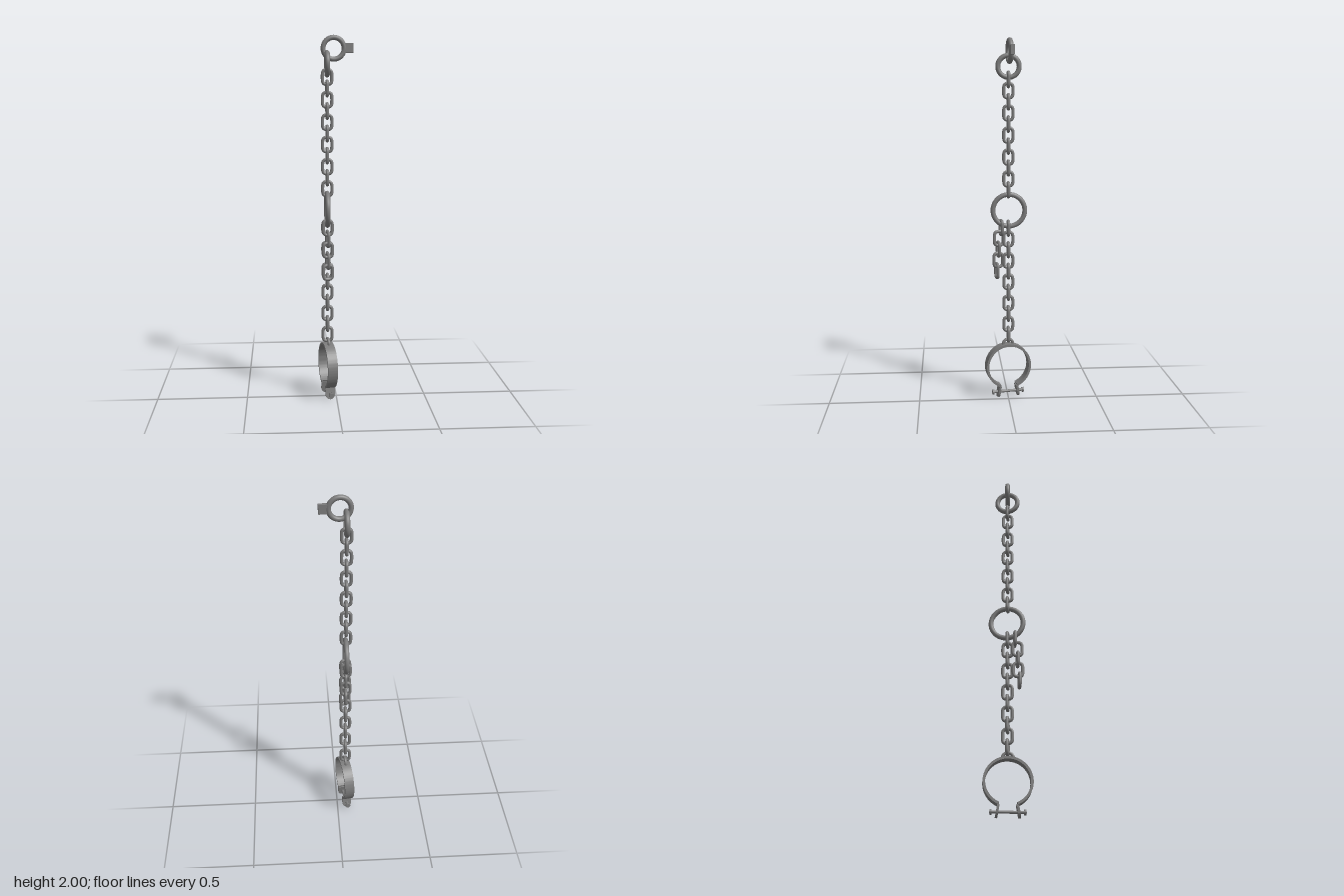
import * as THREE from 'three';
import { toCreasedNormals } from 'three/addons/utils/BufferGeometryUtils.js';

const CHAIN_X = -0.048;

export function createModel() {
  const root = new THREE.Group();
  const metal = new THREE.MeshStandardMaterial({ color: 0x7c7c7c });

  function add(parent, name, geometry, x = 0, y = 0, z = 0) {
    const mesh = new THREE.Mesh(geometry, metal);
    mesh.name = name;
    mesh.position.set(x, y, z);
    parent.add(mesh);
    return mesh;
  }

  // Chain link: a closed tube around a rounded rectangle
  const corner = 0.018, halfW = 0.0245, halfH = 0.0385;
  const outline = [];
  for (let q = 0; q < 4; q++) {
    const sx = q === 0 || q === 3 ? 1 : -1, sy = q < 2 ? 1 : -1;
    for (let i = 0; i <= 3; i++) {
      const a = (q + i / 3) * Math.PI / 2;
      outline.push(new THREE.Vector3(
        sx * (halfW - corner) + corner * Math.cos(a), sy * (halfH - corner) + corner * Math.sin(a), 0));
    }
  }
  const linkGeometry = new THREE.TubeGeometry(new THREE.CatmullRomCurve3(outline, true), 40, 0.009, 10, true);

  // Hanging run of links, alternating a quarter turn
  function chain(name, topY, pitch, count, zAt = () => -0.002, yaw = 0) {
    const group = new THREE.Group();
    group.name = name;
    for (let i = 0; i < count; i++) {
      const link = add(group, 'chainLink', linkGeometry, CHAIN_X, topY - i * pitch, zAt(i));
      link.rotation.y = yaw + (i % 2 ? Math.PI / 2 : 0);
    }
    root.add(group);
  }
  chain('upperChain', 1.78, 0.0598, 11);
  chain('lowerChain', 0.968, 0.0605, 11);
  const sway = [0.038, 0.051, 0.053, 0.054, 0.062];
  chain('looseChain', 0.972, 0.0605, 5, i => sway[i], 0.2);

  // Wall ring with its mounting plate
  const mount = new THREE.Group();
  mount.name = 'wallMount';
  mount.position.set(-0.013, 1.93, -0.006);
  mount.rotation.y = 0.09;
  add(mount, 'wallRing', new THREE.TorusGeometry(0.0565, 0.0135, 14, 48));
  add(mount, 'mountingPlate', new THREE.BoxGeometry(0.05, 0.05, 0.02), 0.081, 0.002, 0);
  root.add(mount);

  // Connecting rings, in the side plane
  const upperRing = add(root, 'upperRing', new THREE.TorusGeometry(0.058, 0.0135, 14, 48), CHAIN_X, 1.849, -0.003);
  const middleRing = add(root, 'middleRing', new THREE.TorusGeometry(0.088, 0.0135, 14, 64), CHAIN_X, 1.068, -0.005);
  upperRing.rotation.y = middleRing.rotation.y = Math.PI / 2;

  // Shackle, turned slightly about the vertical
  const shackle = new THREE.Group();
  shackle.name = 'shackle';
  shackle.position.x = -0.046;
  shackle.rotation.y = THREE.MathUtils.degToRad(10);
  root.add(shackle);

  // Open band with its gap at the bottom
  const width = 0.055;
  const gap = 0.4;
  const start = -Math.PI / 2 + gap, end = Math.PI * 1.5 - gap;
  const bandShape = new THREE.Shape();
  bandShape.absarc(0, 0, 0.128, start, end, false);
  bandShape.absarc(0, 0, 0.115, end, start, true);
  const band = new THREE.ExtrudeGeometry(bandShape, { depth: width, bevelEnabled: false, curveSegments: 48 });
  band.translate(0, 0, -width / 2).rotateY(Math.PI / 2);
  add(shackle, 'band', toCreasedNormals(band, 0.5), 0, 0.183, 0);

  // Round-ended lug drilled for the bolt, its origin at the hole
  const r = 0.026, boltY = 0.032;
  const lugShape = new THREE.Shape();
  lugShape.moveTo(r, 0.036);
  lugShape.lineTo(-r, 0.036);
  lugShape.lineTo(-r, -0.004);
  lugShape.absarc(0, -0.004, r, Math.PI, Math.PI * 2, false);
  lugShape.closePath();
  const hole = new THREE.Path();
  hole.absarc(0, 0, 0.008, 0, Math.PI * 2, true);
  lugShape.holes.push(hole);
  const lugGeometry = toCreasedNormals(
    new THREE.ExtrudeGeometry(lugShape, { depth: 0.012, bevelEnabled: false, curveSegments: 20 }).translate(0, 0, -0.006), 0.5);

  // Lugs splay outwards; the bolt has a head at each end
  const headGeometry = new THREE.CylinderGeometry(0.014, 0.014, 0.01, 20).rotateX(Math.PI / 2);
  for (const s of [1, -1]) {
    add(shackle, 'lug', lugGeometry, 0, boltY, s * 0.054).rotation.x = -s * 0.17;
    add(shackle, 'boltHead', headGeometry, 0, boltY, s * 0.086);
  }
  add(shackle, 'bolt', new THREE.CylinderGeometry(0.0075, 0.0075, 0.186, 16).rotateX(Math.PI / 2), 0, boltY, 0);

  // Loop on top of the band that carries the chain
  const loop = add(shackle, 'shackleLoop', new THREE.TorusGeometry(0.028, 0.0085, 12, 24, Math.PI), 0, 0.308, 0);
  loop.rotation.y = Math.PI / 2;

  return root;
}
